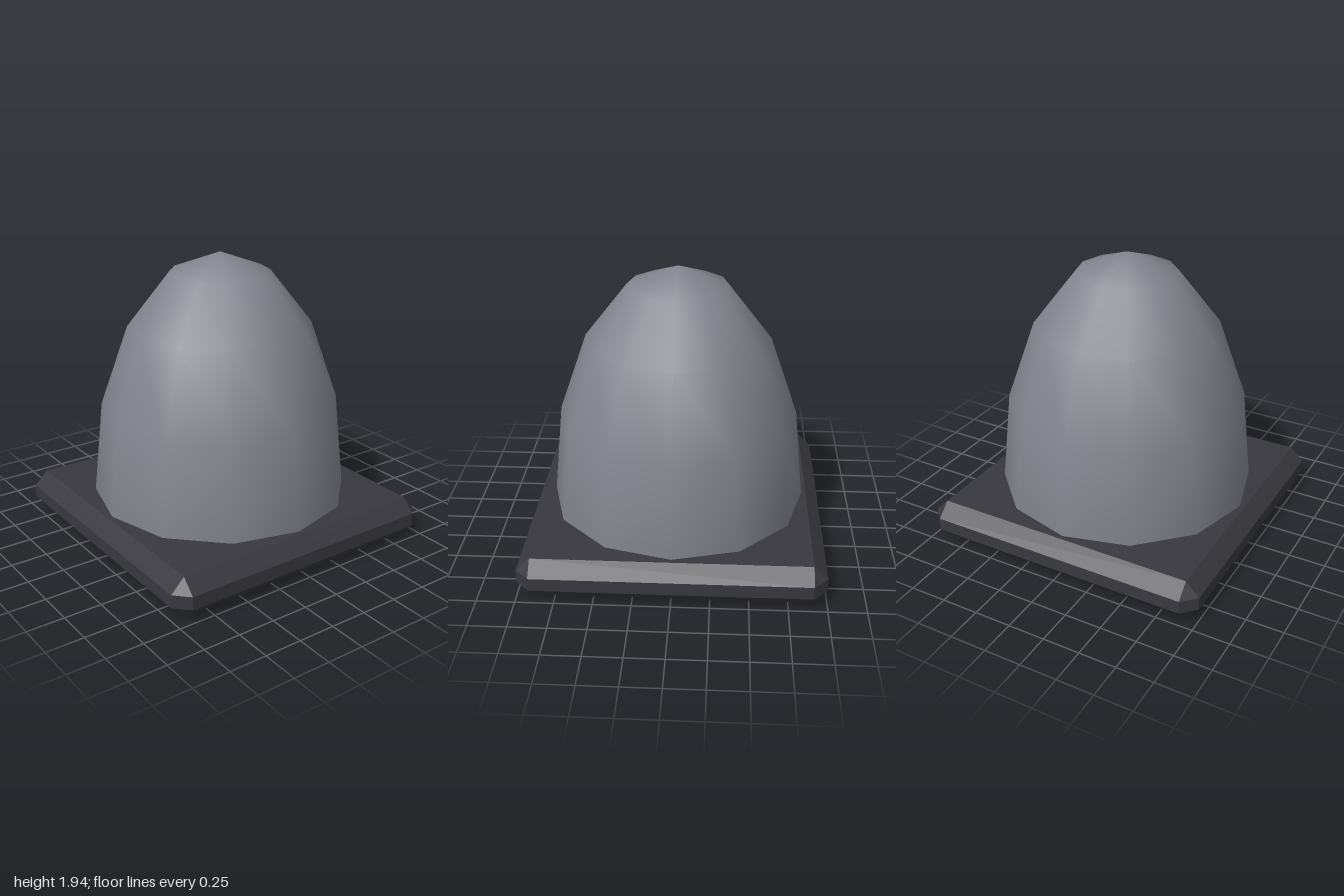
import * as THREE from 'three';
import { ConvexGeometry } from 'three/addons/geometries/ConvexGeometry.js';

const BASE_HEIGHT = 0.275, BEVEL = 0.093;

export function createModel() {
  const model = new THREE.Group();
  model.name = 'domeOnBase';

  const domeGrey = new THREE.MeshStandardMaterial({ color: 0x83868f });
  domeGrey.name = 'dome grey';
  const baseDark = new THREE.MeshStandardMaterial({ color: 0x39383f });
  baseDark.name = 'base dark grey';

  // Square base with every edge chamfered
  const inner = 1 - BEVEL;
  const points = [];
  for (const sx of [-1, 1]) for (const sz of [-1, 1]) {
    for (const y of [0, BASE_HEIGHT]) points.push(new THREE.Vector3(sx * inner, y, sz * inner));
    for (const y of [BEVEL, BASE_HEIGHT - BEVEL]) {
      points.push(new THREE.Vector3(sx, y, sz * inner), new THREE.Vector3(sx * inner, y, sz));
    }
  }
  const baseGeometry = new ConvexGeometry(points);

  // The underside takes the lighter grey
  const normals = baseGeometry.attributes.normal;
  for (let i = 0; i < normals.count; i += 3) {
    baseGeometry.addGroup(i, 3, normals.getY(i) < -0.99 ? 1 : 0);
  }
  const base = new THREE.Mesh(baseGeometry, [baseDark, domeGrey]);
  base.name = 'base';
  model.add(base);

  // Twelve-sided half ellipsoid dome with smooth normals
  const domeGeometry = new THREE.SphereGeometry(0.875, 12, 4, 0, Math.PI * 2, 0, Math.PI / 2);
  domeGeometry.scale(1, 1.67 / 0.875, 1);
  const dome = new THREE.Mesh(domeGeometry, domeGrey);
  dome.name = 'dome';
  dome.position.y = BASE_HEIGHT;
  model.add(dome);

  return model;
}
